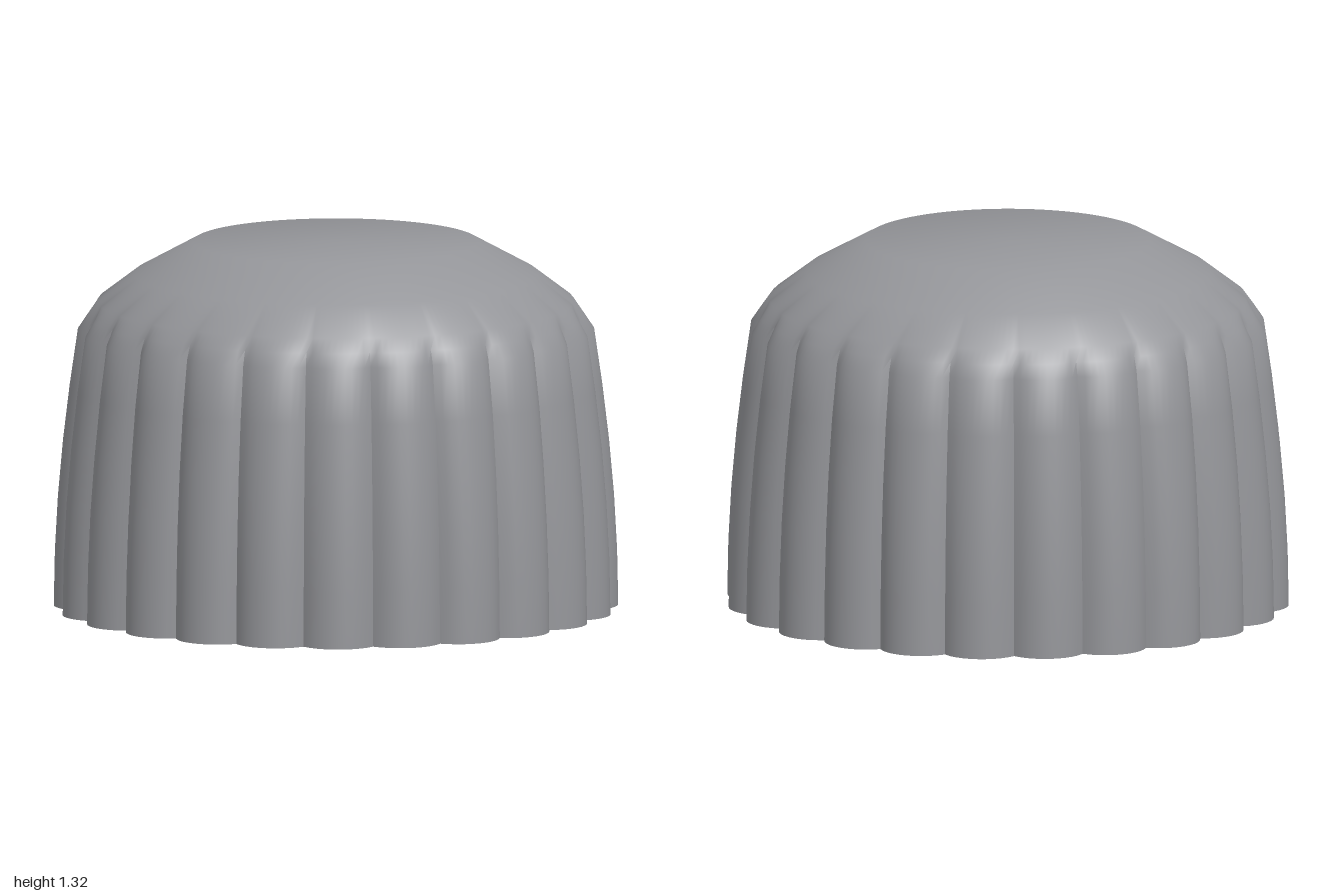
import * as THREE from 'three';
import { toCreasedNormals } from 'three/addons/utils/BufferGeometryUtils.js';

const LOBES = 24, STEPS = 10;

// Height, groove radius and lobe crest radius of each ring, bottom to top
const RINGS = [
  [0, 0.95, 1.008], [0.2, 0.947, 1.004], [0.4, 0.94, 0.993], [0.6, 0.928, 0.975],
  [0.8, 0.91, 0.951], [1.0, 0.884, 0.922], [1.05, 0.867, 0.888], [1.1, 0.85, 0.852],
  [1.2, 0.72, 0.72], [1.315, 0.51, 0.51],
];

// Circular-arc lobe: 0 at the groove, 1 at the crest
function lobeShape(t) {
  const c = 0.856, r = 0.152, a = (t * Math.PI) / LOBES;
  const radius = (x) => c * Math.cos(x) + Math.sqrt(r * r - (c * Math.sin(x)) ** 2);
  const low = radius(Math.PI / LOBES);
  return (radius(a) - low) / (c + r - low);
}

function flutedCapGeometry() {
  const n = LOBES * STEPS, pos = [], idx = [];
  for (const [y, groove, crest] of RINGS) {
    for (let i = 0; i < n; i++) {
      const t = ((i % STEPS) / STEPS) * 2 - 1;
      const r = groove + (crest - groove) * lobeShape(t);
      const a = (i / n) * Math.PI * 2;
      pos.push(r * Math.sin(a), y, r * Math.cos(a));
    }
  }
  // Centres of the underside and the flat crown
  const last = (RINGS.length - 1) * n, bottom = RINGS.length * n, top = bottom + 1;
  pos.push(0, 0, 0, 0, RINGS[RINGS.length - 1][0], 0);
  for (let i = 0; i < n; i++) {
    const j = (i + 1) % n;
    for (let k = 0; k < last; k += n) {
      idx.push(k + i, k + j, k + n + j, k + i, k + n + j, k + n + i);
    }
    idx.push(bottom, j, i, top, last + i, last + j);
  }
  const geo = new THREE.BufferGeometry();
  geo.setAttribute('position', new THREE.Float32BufferAttribute(pos, 3));
  geo.setIndex(idx);
  // Keep grooves and the bottom rim sharp, the dome smooth
  return toCreasedNormals(geo, THREE.MathUtils.degToRad(40));
}

export function createModel() {
  const group = new THREE.Group();
  group.name = 'flutedCap';
  const grey = new THREE.MeshStandardMaterial({ color: 0x949599 });
  grey.name = 'grey';
  const body = new THREE.Mesh(flutedCapGeometry(), grey);
  body.name = 'flutedBody';
  group.add(body);
  return group;
}
